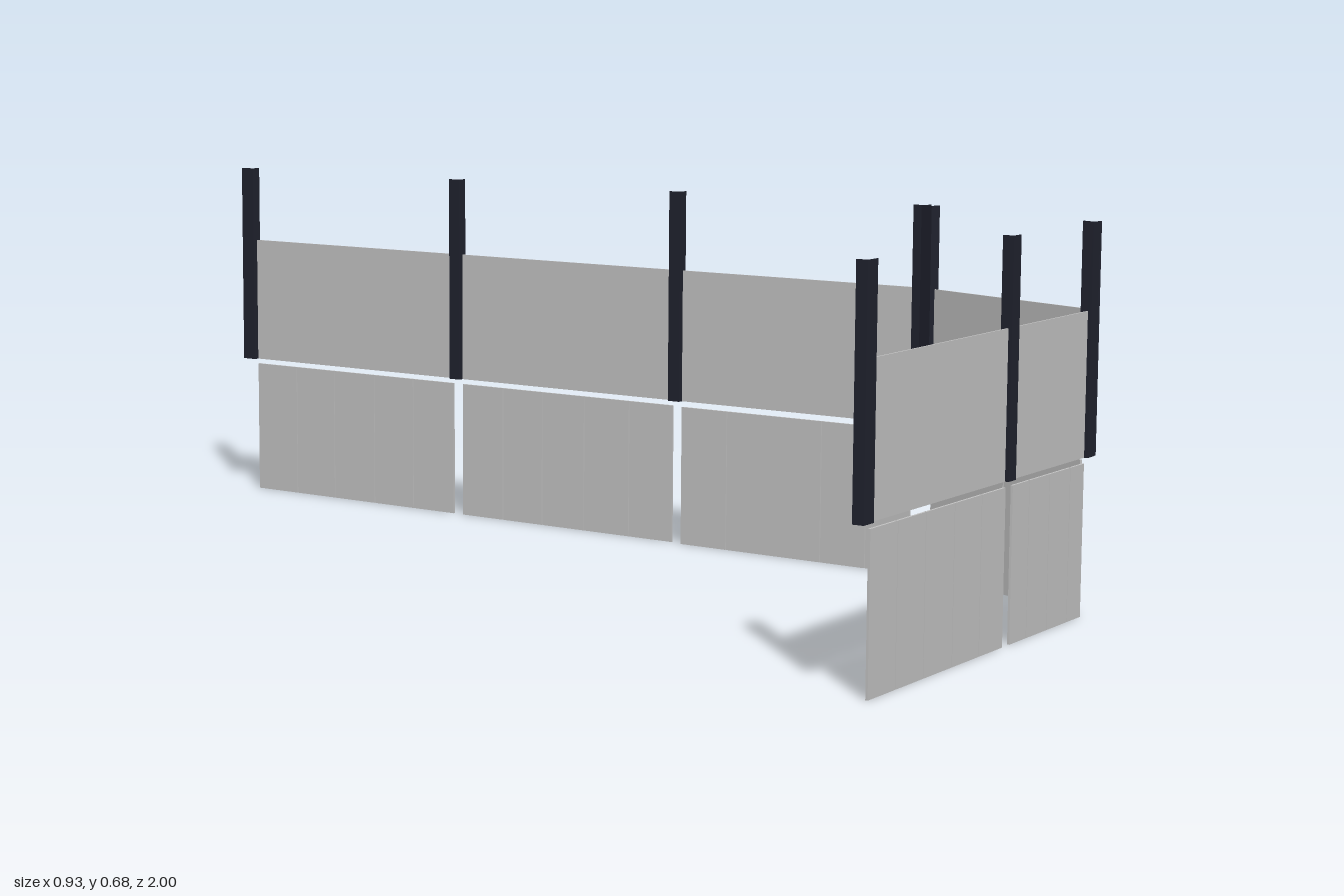
import * as THREE from 'three';

const panelGrey = new THREE.MeshStandardMaterial({ color: 0xc4c4c4 });
panelGrey.name = 'panel grey';
const postDark = new THREE.MeshStandardMaterial({ color: 0x20222e });
postDark.name = 'post dark';

const BOARD_TOP = 0.265, RAIL = 0.275, GLASS_TOP = 0.525, POST_TOP = 0.675;
const POST_DEPTH = 0.02;

// Upright slab between two distances along a run
function slab(name, s0, s1, y0, y1, depth, z, material) {
  const geo = new THREE.BoxGeometry(s1 - s0, y1 - y0, depth);
  geo.translate((s0 + s1) / 2, (y0 + y1) / 2, z);
  const mesh = new THREE.Mesh(geo, material);
  mesh.name = name;
  return mesh;
}

// Hollow post: side walls only, open at top and bottom
function post(s0, s1) {
  const mesh = slab('post', s0, s1, RAIL, POST_TOP, POST_DEPTH, -0.002, postDark);
  const index = Array.from(mesh.geometry.index.array);
  mesh.geometry.setIndex([...index.slice(0, 12), ...index.slice(24)]);
  mesh.geometry.clearGroups();
  return mesh;
}

// One straight run: local x follows the wall, local z points outward
function run({ name, x, z, angle, posts, boards }) {
  const group = new THREE.Group();
  group.name = name;
  group.position.set(x, 0, z);
  group.rotation.y = angle;
  for (const [a, b] of posts) group.add(post(a, b));

  // Upper sheets span from post to post
  for (let i = 0; i < posts.length - 1; i++) {
    group.add(slab('upperSheet', posts[i][1], posts[i + 1][0], RAIL, GLASS_TOP, 0.003, 0, panelGrey));
  }

  // Lower boards, with a hairline joint between neighbours
  for (const { at, inset = 0 } of boards) {
    for (let i = 0; i < at.length - 1; i++) {
      group.add(slab('lowerBoard', at[i] + 0.0008, at[i + 1] - 0.0008, 0, BOARD_TOP, 0.004, -inset, panelGrey));
    }
  }
  return group;
}

export function createModel() {
  const model = new THREE.Group();
  model.name = 'cornerBarrier';

  model.add(run({
    name: 'frontRun', x: 0, z: 0.992, angle: 0,
    posts: [[-0.468, -0.437], [0.007, 0.033], [0.3, 0.326]],
    boards: [
      { at: [-0.437, -0.35, -0.26, -0.165, -0.073, 0.01] },
      { at: [0.034, 0.095, 0.17, 0.247, 0.3] },
    ],
  }));

  model.add(run({
    name: 'diagonalRun', x: 0.33, z: 0.985, angle: Math.atan2(0.385, 0.127),
    posts: [[-0.012, 0.012], [0.379, 0.405]],
    boards: [{ at: [0.013, 0.196, 0.379] }],
  }));

  model.add(run({
    name: 'sideRun', x: 0.458, z: 0, angle: Math.PI / 2,
    posts: [[-0.605, -0.58], [-0.085, -0.06], [0.435, 0.46], [0.97, 1.0]],
    boards: [
      { at: [-0.582, -0.49, -0.395, -0.19, -0.088], inset: 0.006 },
      { at: [-0.065, 0.035, 0.14, 0.24, 0.335, 0.435] },
      { at: [0.457, 0.56, 0.66, 0.765, 0.865, 0.97] },
    ],
  }));

  return model;
}
